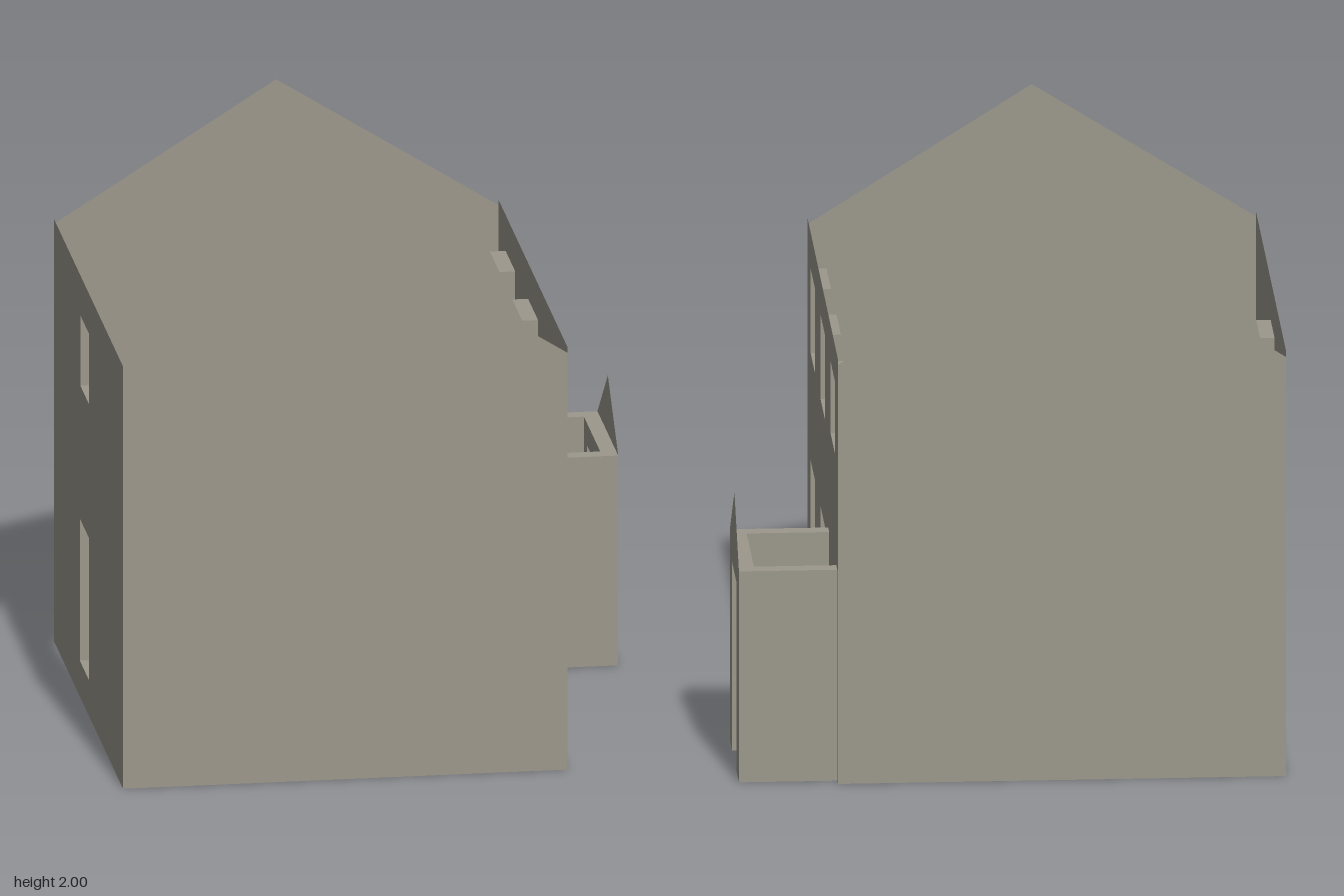
import * as THREE from 'three';

const wallMaterial = new THREE.MeshStandardMaterial({ color: 0x9c988c, side: THREE.DoubleSide });
wallMaterial.name = 'stone grey';

const LEFT = 0.605, RIGHT = -0.945, DEPTH = 0.85, EAVES = 1.51, RIDGE = 2, RIDGE_X = -0.17;

function add(parent, name, geometry) {
  const mesh = new THREE.Mesh(geometry, wallMaterial);
  mesh.name = name;
  parent.add(mesh);
  return mesh;
}

function polygon(points) {
  return new THREE.Shape(points.map(([x, y]) => new THREE.Vector2(x, y)));
}

// Sheet wall facing +x (dir 1) or -x (dir -1); openings are [zMin, zMax, yMin, yMax]
function sideWall(name, x, dir, openings, reveal) {
  const wall = new THREE.Group();
  wall.name = name;
  const shape = polygon([[-DEPTH, 0], [DEPTH, 0], [DEPTH, 1.53], [-DEPTH, 1.53]]);
  for (const [z0, z1, y0, y1] of openings) {
    const a = -dir * z0, b = -dir * z1;
    shape.holes.push(polygon([[a, y0], [a, y1], [b, y1], [b, y0]]));

    // Open tube around the opening, projecting into the house
    const tube = new THREE.BoxGeometry(reveal, y1 - y0, z1 - z0);
    tube.setIndex(Array.from(tube.index.array).slice(12));
    tube.clearGroups();
    tube.translate(x - dir * reveal / 2, (y0 + y1) / 2, (z0 + z1) / 2);
    add(wall, 'openingReveal', tube);
  }
  const sheet = new THREE.ShapeGeometry(shape);
  sheet.rotateY(dir * Math.PI / 2);
  sheet.translate(x, 0, 0);
  add(wall, 'wallSheet', sheet);
  return wall;
}

// Roofless porch: U-shaped walls with a doorway and a thin gable
function porch() {
  const group = new THREE.Group();
  group.name = 'porch';
  const z0 = -0.81, z1 = -0.3, outer = 0.945, t = 0.055, top = 0.76;
  const d0 = -0.685, d1 = -0.425, doorTop = 0.68;

  for (const z of [z0 + t / 2, z1 - t / 2]) {
    const side = new THREE.BoxGeometry(outer - t - LEFT, top, t);
    side.translate((outer - t + LEFT) / 2, top / 2, z);
    add(group, 'porchSideWall', side);
  }

  const front = new THREE.ExtrudeGeometry(polygon([
    [-z1, 0], [-d1, 0], [-d1, doorTop], [-d0, doorTop],
    [-d0, 0], [-z0, 0], [-z0, top], [-z1, top],
  ]), { depth: t, bevelEnabled: false });
  front.rotateY(Math.PI / 2);
  front.translate(outer - t, 0, 0);
  add(group, 'porchFrontWall', front);

  const gable = new THREE.ShapeGeometry(polygon([[-z1, top], [-z0, top], [-(z0 + z1) / 2, 0.97]]));
  gable.rotateY(Math.PI / 2);
  gable.translate(outer, 0, 0);
  add(group, 'porchGable', gable);
  return group;
}

export function createModel() {
  const house = new THREE.Group();
  house.name = 'house';

  // Blank gable ends
  const gable = polygon([[RIGHT, 0], [LEFT, 0], [LEFT, EAVES], [RIDGE_X, RIDGE], [RIGHT, EAVES]]);
  add(house, 'frontGable', new THREE.ShapeGeometry(gable)).position.z = DEPTH;
  const back = new THREE.ShapeGeometry(gable);
  back.setIndex(Array.from(back.index.array).reverse());
  back.computeVertexNormals();
  add(house, 'backGable', back).position.z = -DEPTH;

  // Entrance wall: three upper windows, two lower windows and the door
  house.add(sideWall('entranceWall', LEFT, 1, [
    [0.43, 0.68, 1.095, 1.4], [-0.12, 0.125, 1.095, 1.4], [-0.67, -0.435, 1.14, 1.4],
    [0.43, 0.68, 0.375, 0.71], [-0.12, 0.125, 0.375, 0.71], [-0.685, -0.425, 0.13, 0.655],
  ], 0.055));

  // Opposite wall: one window above one door
  house.add(sideWall('rearWall', RIGHT, -1, [
    [-0.2, 0.015, 1.13, 1.385], [-0.21, 0.02, 0.13, 0.645],
  ], 0.05));

  house.add(porch());
  return house;
}
